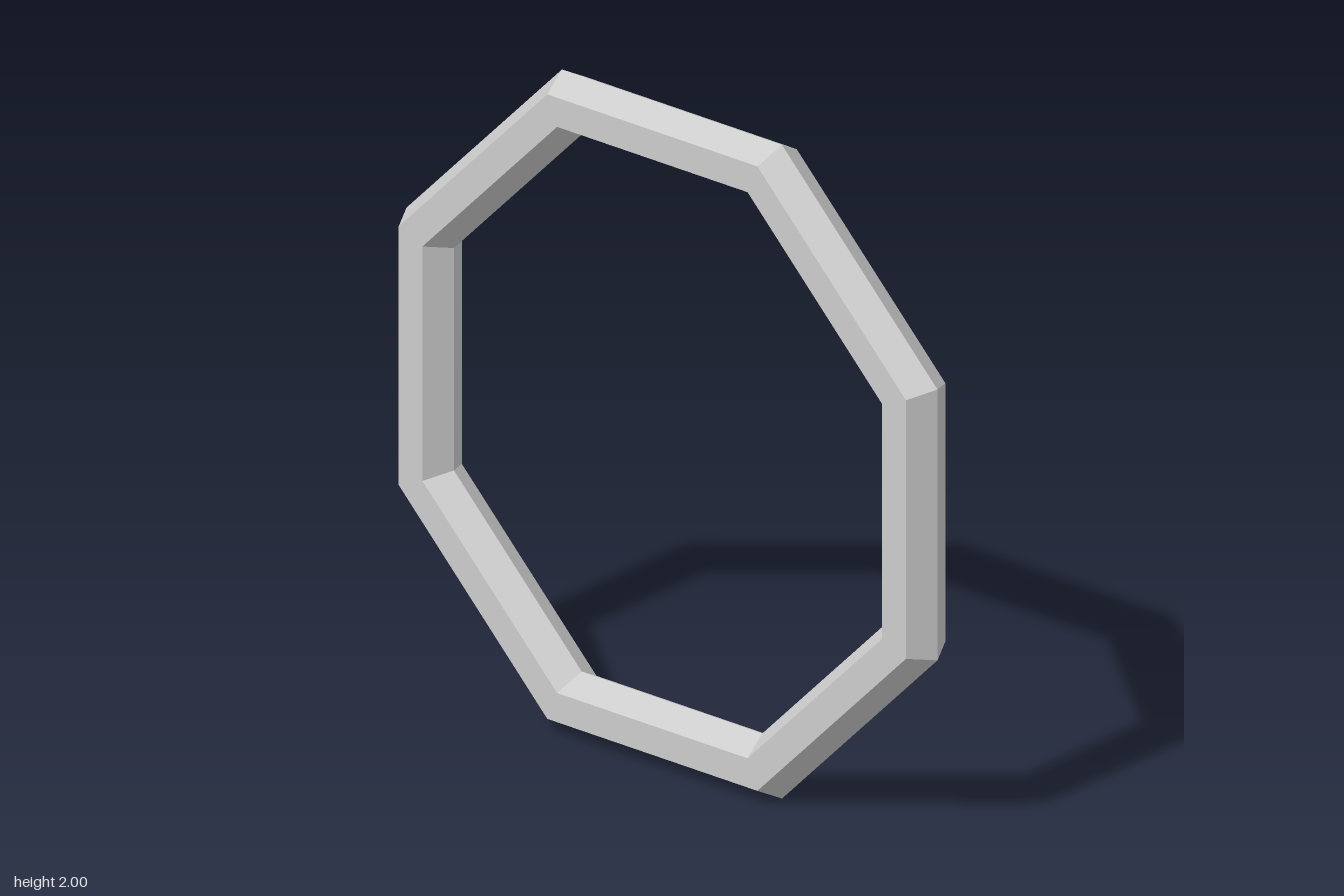
import * as THREE from 'three';

export function createModel() {
  const group = new THREE.Group();
  group.name = 'octagonalRing';

  // Eight straight sides with a six-sided section, mitred at the corners
  const sides = 8;
  const halfAngle = Math.PI / sides;
  const outer = 1 / Math.cos(halfAngle); // corner radius for a width of 2
  const tube = 0.0967;
  const geometry = new THREE.TorusGeometry(outer - tube, tube, 6, sides);
  geometry.rotateZ(halfAngle); // flat side down

  const material = new THREE.MeshStandardMaterial({ color: 0xcccccc, flatShading: true });
  const ring = new THREE.Mesh(geometry, material);
  ring.name = 'ring';
  ring.position.y = 1;
  group.add(ring);

  return group;
}
